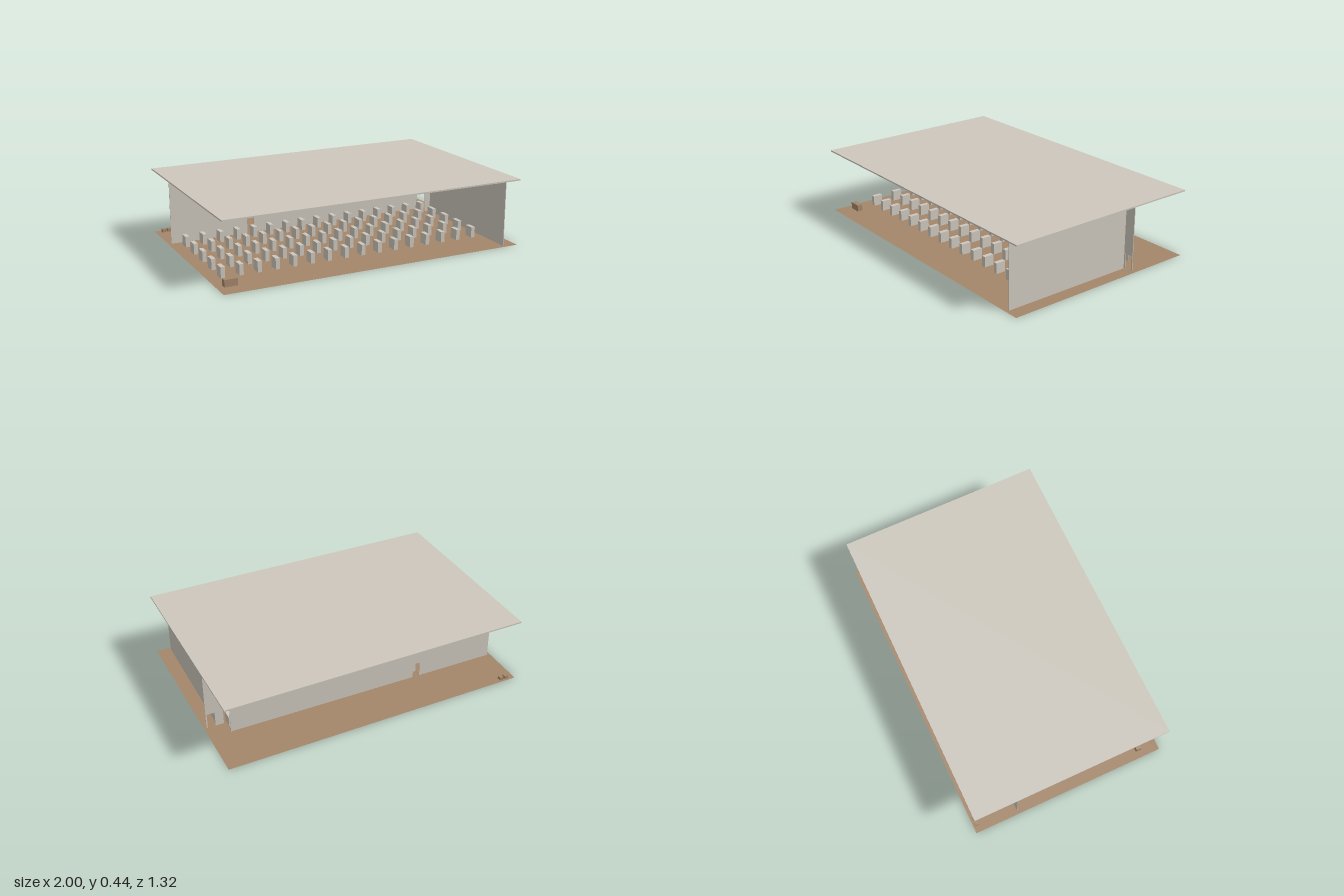
import * as THREE from 'three';

const WALL_H = 0.426, ROOF_T = 0.009, WALL_T = 0.004;

export function createModel() {
  const model = new THREE.Group();
  model.name = 'hall';

  const stone = new THREE.MeshStandardMaterial({ color: 0xcdc7bd });
  stone.name = 'pale stone';
  const wood = new THREE.MeshStandardMaterial({ color: 0xa4866a, side: THREE.DoubleSide });
  wood.name = 'brown wood';

  const add = (name, geometry, material, x = 0, y = 0, z = 0, parent = model) => {
    const mesh = new THREE.Mesh(geometry, material);
    mesh.name = name;
    mesh.position.set(x, y, z);
    parent.add(mesh);
    return mesh;
  };
  // Box standing on the ground, centred on x and z
  const block = (name, material, w, h, d, x, z, parent) =>
    add(name, new THREE.BoxGeometry(w, h, d), material, x, h / 2, z, parent);
  const polygon = (points) => new THREE.Shape(points.map(([x, y]) => new THREE.Vector2(x, y)));

  // Slightly skewed outline shared by floor and roof (x, -z)
  const outline = polygon([[-0.996, -0.657], [0.997, -0.657], [0.987, 0.663], [-1, 0.64]]);
  const floor = new THREE.ShapeGeometry(outline).rotateX(-Math.PI / 2);
  add('floor', floor, wood, 0, 0.001, 0);
  const roof = new THREE.ExtrudeGeometry(outline, { depth: ROOF_T, bevelEnabled: false }).rotateX(-Math.PI / 2);
  add('roof', roof, stone, 0, WALL_H, 0);

  // Wall along x with a doorway cut from its lower edge
  const doorWall = (name, x0, x1, d0, d1, z) => {
    const shape = polygon([
      [x0, 0], [d0, 0], [d0, 0.102], [d1, 0.102], [d1, 0], [x1, 0], [x1, WALL_H], [x0, WALL_H],
    ]);
    const geometry = new THREE.ExtrudeGeometry(shape, { depth: WALL_T, bevelEnabled: false });
    add(name, geometry, stone, 0, 0, z - WALL_T / 2);
  };
  doorWall('backWall', -0.978, 0.852, -0.455, -0.407, -0.346);
  doorWall('sidePassageWall', 0.862, 0.975, 0.916, 0.966, -0.253);
  block('sideWall', stone, WALL_T, WALL_H, 0.886, 0.905, 0.193);

  // Grid of upright blocks
  const blocks = new THREE.Group();
  blocks.name = 'standingBlocks';
  model.add(blocks);
  for (let row = 0; row < 5; row++) {
    for (let col = 0; col < 16; col++) {
      block('standingBlock', stone, 0.027, 0.07, 0.065, -0.905 + col * 0.1157, 0.37 - row * 0.159, blocks);
    }
  }

  // Low wooden furniture near the corners
  block('frontBench', wood, 0.082, 0.045, 0.035, -0.91, 0.53);
  for (const x of [-0.945, -0.91]) block('smallStool', wood, 0.024, 0.022, 0.028, x, -0.613);

  return model;
}
